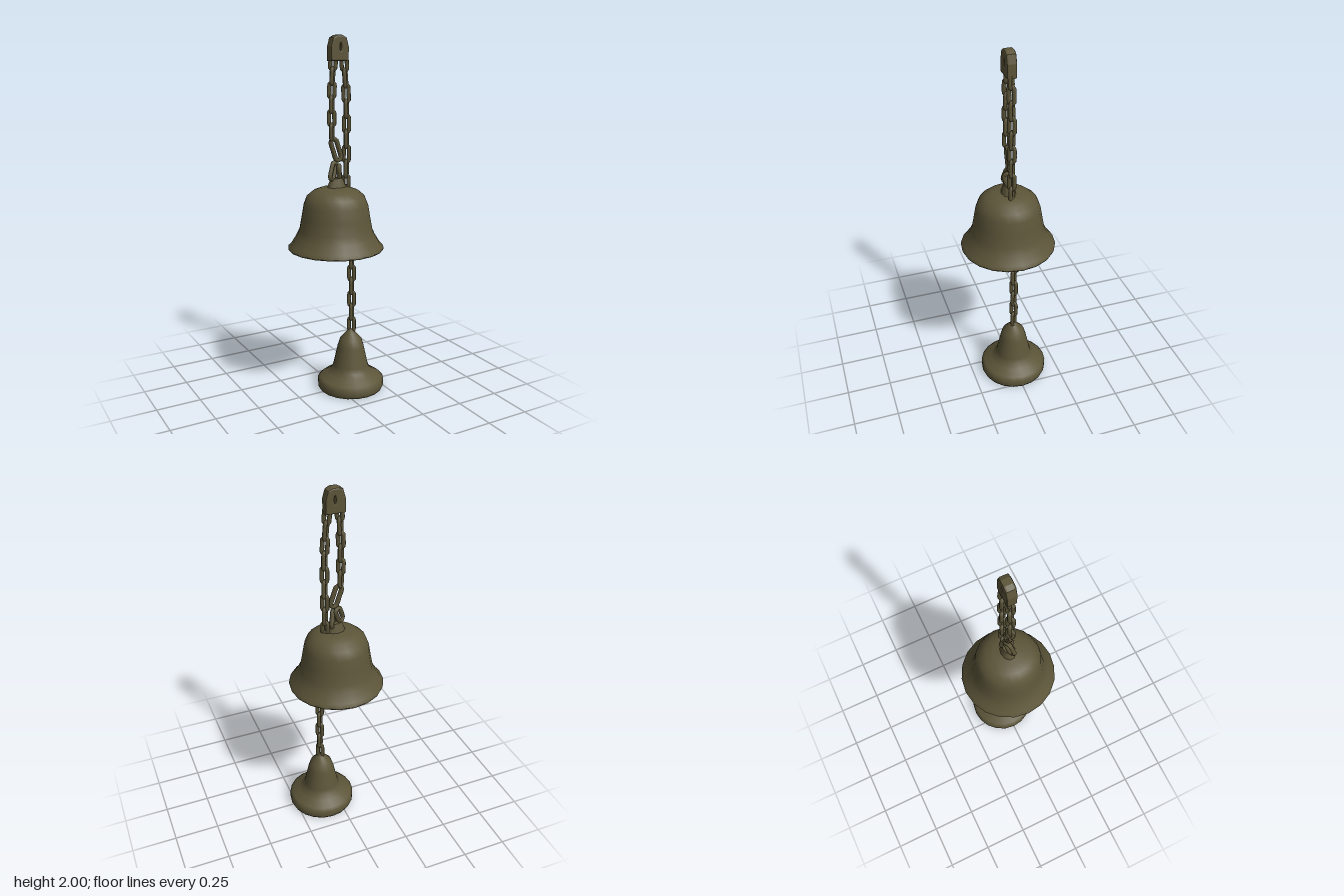
import * as THREE from 'three';

const V = (x, y, z = 0) => new THREE.Vector3(x, y, z);

// Hollow bell turned from one profile: inner wall down, then outer wall up
function bell(name, inner, outer, mat) {
  const pts = [...inner, ...outer].map(([r, y]) => new THREE.Vector2(r, y));
  const mesh = new THREE.Mesh(new THREE.LatheGeometry(pts, 20), mat);
  mesh.name = name;
  return mesh;
}

// Oval chain link with its long axis on y
function linkGeometry(length, width, wire) {
  const r = width / 2 - wire, h = length / 2 - wire - r;
  const pts = [];
  for (let i = 0; i < 14; i++) {
    const a = (i / 14) * Math.PI * 2;
    const s = Math.sin(a);
    pts.push(V(Math.cos(a) * r, s * r + Math.sign(Math.round(s * 1e3)) * h));
  }
  return new THREE.TubeGeometry(new THREE.CatmullRomCurve3(pts, true), 18, wire, 6, true);
}

// Run of links along a path, each turned a quarter from the one before
function chain(name, points, count, mat) {
  const group = new THREE.Group();
  group.name = name;
  const curve = new THREE.CatmullRomCurve3(points);
  const step = curve.getLength() / count;
  const geo = linkGeometry(step + 0.034, 0.052, 0.0115);
  for (let i = 0; i < count; i++) {
    const a = curve.getPointAt(i / count), b = curve.getPointAt((i + 1) / count);
    const link = new THREE.Mesh(geo, mat);
    link.name = 'chainLink';
    link.position.copy(a).add(b).multiplyScalar(0.5);
    link.quaternion.setFromUnitVectors(V(0, 1), b.clone().sub(a).normalize());
    link.rotateY(Math.PI / 4 + (i % 2) * Math.PI / 2);
    group.add(link);
  }
  return group;
}

export function createModel() {
  const model = new THREE.Group();
  model.name = 'hangingBells';
  const bronze = new THREE.MeshStandardMaterial({ color: 0x5c5539 });
  bronze.name = 'dark bronze';

  // Upper bell
  const upper = bell('upperBell',
    [[0, 1.17], [0.09, 1.16], [0.14, 1.12], [0.16, 1.08], [0.185, 0.96], [0.205, 0.91], [0.245, 0.855]],
    [[0.262, 0.85], [0.266, 0.86], [0.25, 0.875], [0.222, 0.92], [0.203, 0.96], [0.19, 1.03],
      [0.178, 1.1], [0.16, 1.145], [0.125, 1.175], [0.08, 1.192], [0, 1.2]], bronze);
  upper.position.x = -0.013;
  model.add(upper);

  // Lower bell with its heavy rim
  const lower = bell('lowerBell',
    [[0, 0.27], [0.045, 0.25], [0.08, 0.12], [0.13, 0.07], [0.155, 0.045], [0.16, 0.005]],
    [[0.185, 0], [0.192, 0.015], [0.192, 0.05], [0.175, 0.065], [0.135, 0.09], [0.11, 0.112], [0.1, 0.14],
      [0.076, 0.25], [0.062, 0.295], [0.03, 0.33], [0.012, 0.35], [0, 0.352]], bronze);
  lower.position.x = 0.085;
  model.add(lower);

  // Crown on the upper bell
  const crown = new THREE.Mesh(new THREE.CylinderGeometry(0.035, 0.058, 0.06, 10), bronze);
  crown.name = 'bellCrown';
  crown.position.set(-0.008, 1.215, 0);
  crown.scale.z = 0.75;
  model.add(crown);

  // Top hanger: tapered plate with a small hole
  const shape = new THREE.Shape([[-0.046, 1.875], [0.046, 1.875], [0.046, 1.94], [0.034, 1.982],
    [0.015, 1.992], [-0.015, 1.992], [-0.034, 1.982], [-0.046, 1.94]].map(p => new THREE.Vector2(...p)));
  const hole = new THREE.Path();
  hole.absellipse(0.004, 1.94, 0.012, 0.028, 0, Math.PI * 2, true);
  shape.holes.push(hole);
  const hanger = new THREE.Mesh(new THREE.ExtrudeGeometry(shape, {
    depth: 0.034, bevelSize: 0.008, bevelThickness: 0.01, bevelSegments: 2, curveSegments: 8 }), bronze);
  hanger.name = 'topHanger';
  hanger.position.z = -0.017;
  model.add(hanger);

  // Chains: left strand, right strand, and the long run through the upper bell
  model.add(chain('leftChain', [V(-0.027, 1.9), V(-0.037, 1.7), V(-0.037, 1.46)], 6, bronze));
  model.add(chain('rightChain', [V(0.034, 1.9), V(0.05, 1.7), V(0.053, 1.45), V(0.05, 1.17)], 9, bronze));
  model.add(chain('lowerChain', [V(0.052, 1.19), V(0.08, 0.95), V(0.088, 0.75), V(0.09, 0.34)], 11, bronze));

  // Crossing links where the left strand meets the crown
  [[-0.012, 1.4, 0.32], [-0.03, 1.285, -0.4], [0.008, 1.27, 0.38]].forEach(([x, y, tilt], i) => {
    const link = new THREE.Mesh(linkGeometry(i ? 0.12 : 0.15, 0.062, 0.013), bronze);
    link.name = 'crossingLink';
    link.position.set(x, y, 0);
    link.rotation.set(0, i * 0.5, tilt);
    model.add(link);
  });
  return model;
}
